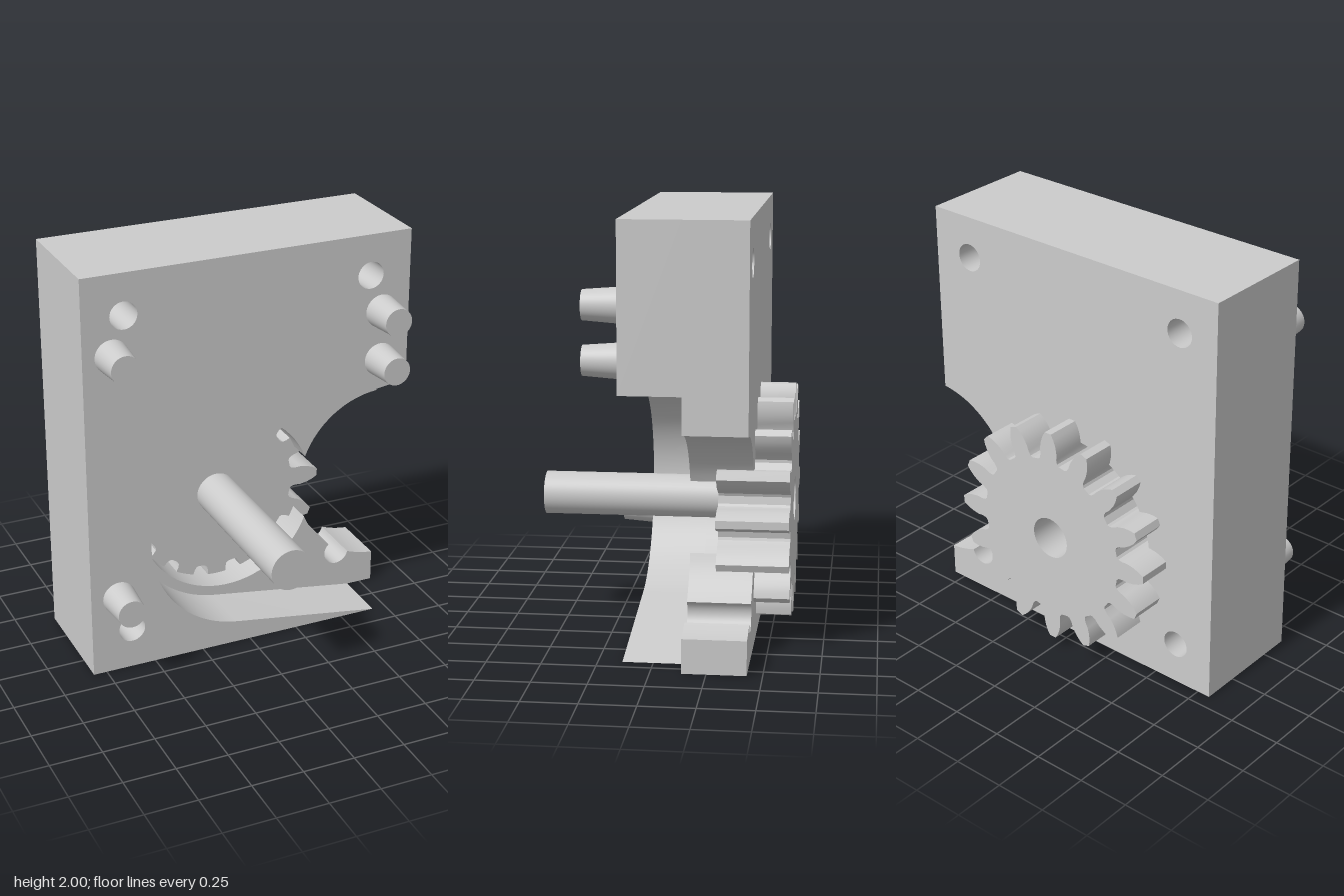
import * as THREE from 'three';
import { toCreasedNormals } from 'three/addons/utils/BufferGeometryUtils.js';

const W = 0.815, H = 2, CY = 0.615;
const Z_FRONT = 0.14, Z_STEP = -0.14, Z_BACK = -0.43;
const GEAR_FRONT = -0.265, GEAR_BACK = -0.595;
const material = new THREE.MeshStandardMaterial({ color: 0xcccccc });

// Points along an arc, angles in degrees
function arc(cx, cy, r, from, to, n) {
  return Array.from({ length: n + 1 }, (_, i) => {
    const a = THREE.MathUtils.degToRad(from + (to - from) * i / n);
    return new THREE.Vector2(cx + r * Math.cos(a), cy + r * Math.sin(a));
  });
}
const pt = (x, y) => new THREE.Vector2(x, y);

function plate(name, points, holes, zBack, zFront) {
  const shape = new THREE.Shape(points);
  for (const [x, y, r] of holes) shape.holes.push(new THREE.Path(arc(x, y, r, 360, 0, 32).slice(0, -1)));
  const geo = new THREE.ExtrudeGeometry(shape, { depth: zFront - zBack, bevelEnabled: false });
  geo.translate(0, 0, zBack);
  const mesh = new THREE.Mesh(toCreasedNormals(geo, 0.35), material);
  mesh.name = name;
  return mesh;
}

// Round bar along z
function rod(name, x, y, zBack, zFront, rBack, rFront) {
  const geo = new THREE.CylinderGeometry(rFront, rBack, zFront - zBack, 40);
  geo.rotateX(Math.PI / 2);
  const mesh = new THREE.Mesh(geo, material);
  mesh.name = name;
  mesh.position.set(x, y, (zFront + zBack) / 2);
  return mesh;
}

function gearOutline(teeth) {
  // Tooth flank from root to tip: radius, half width
  const flank = [[0.407, 0.062], [0.415, 0.052], [0.435, 0.048], [0.465, 0.05], [0.5, 0.044], [0.53, 0.033], [0.555, 0.018]];
  const side = [...flank.map(([r, w]) => [r, -w]), ...flank.map(([r, w]) => [r, w]).reverse()];
  const points = [];
  for (let i = 0; i < teeth; i++) {
    for (const [r, w] of side) {
      const a = i / teeth * Math.PI * 2 + w / r;
      points.push(pt(r * Math.cos(a), CY + r * Math.sin(a)));
    }
  }
  return points;
}

export function createModel() {
  const group = new THREE.Group();
  group.name = 'gearHousing';
  const screwHoles = [[-0.615, 1.8, 0.066], [0.61, 1.8, 0.066], [-0.615, 0.205, 0.066]];

  // Front half with the flared pocket open to the right
  group.add(plate('frontPlate', [
    pt(-W, 0), pt(0.68, 0),
    ...arc(0, CY, 0.508, -97.7, -262.3, 36),
    pt(W, 1.24), pt(W, H), pt(-W, H),
  ], screwHoles, Z_STEP, Z_FRONT));

  // Back half: gear bore meeting a second bore and an opened screw hole
  group.add(plate('backPlate', [
    pt(-W, 0), pt(W, 0),
    ...arc(0.85, CY, 0.457, 265.6, 247.5, 5),
    ...arc(0.61, 0.205, 0.066, -10.5, -230.2, 18).slice(1, -1),
    ...arc(0.85, CY, 0.457, 231.8, 201.6, 7),
    ...arc(0, CY, 0.457, -21.57, -338.43, 64).slice(1, -1),
    ...arc(0.85, CY, 0.457, 158.4, 94.4, 14),
    pt(W, H), pt(-W, H),
  ], screwHoles, Z_BACK, Z_STEP));

  // Gear and its shaft
  group.add(plate('gear', gearOutline(16), [[0, CY, 0.102]], GEAR_BACK, GEAR_FRONT));
  group.add(rod('shaft', 0, CY, GEAR_FRONT - 0.01, 0.595, 0.102, 0.102));

  // Tapered locating pegs
  for (const [x, y] of [[-0.675, 1.615], [0.672, 1.615], [0.672, 1.37], [-0.675, 0.39]]) {
    group.add(rod('locatingPeg', x, y, Z_FRONT, 0.31, 0.081, 0.068));
  }
  return group;
}
